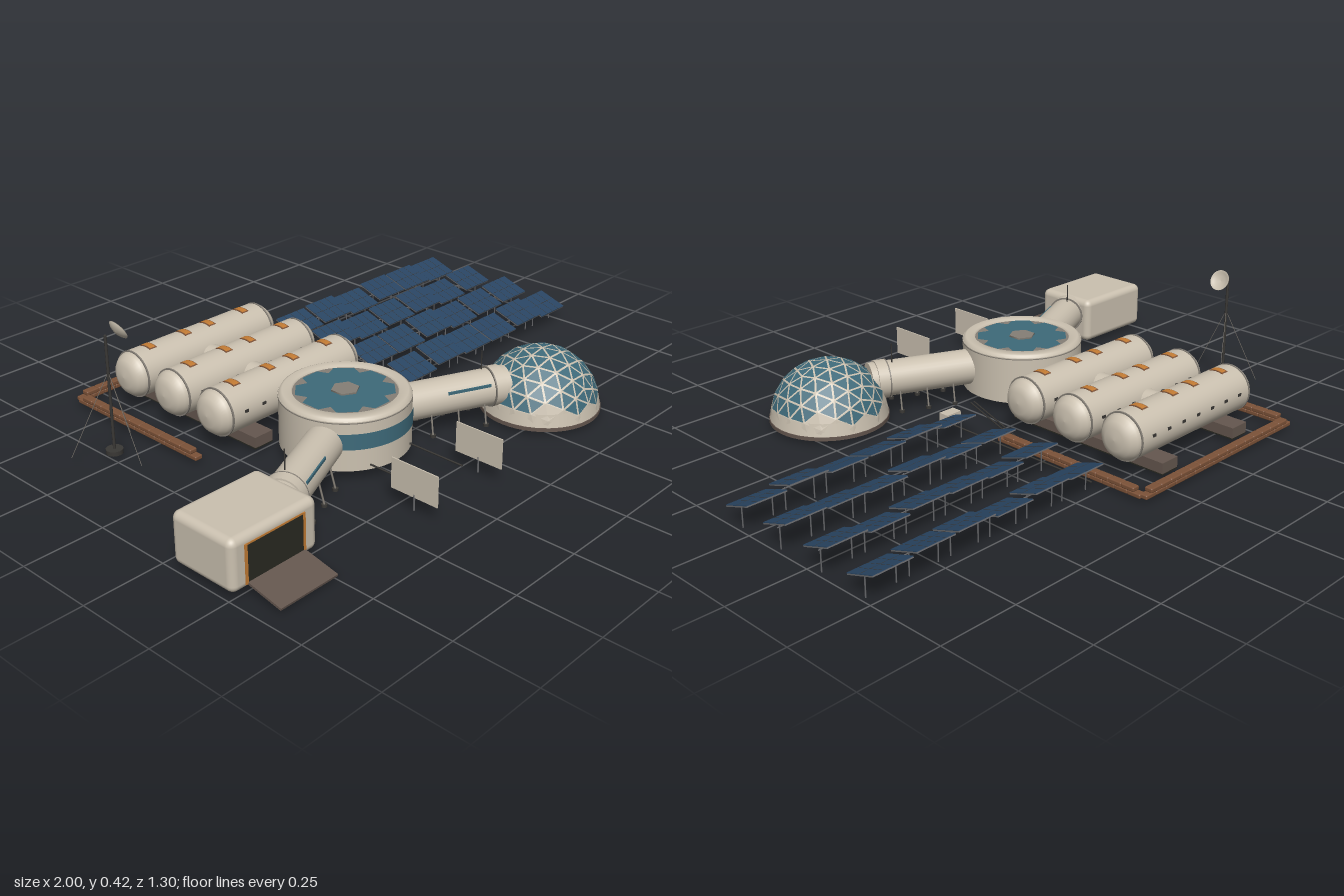
import * as THREE from 'three';
import { RoundedBoxGeometry } from 'three/addons/geometries/RoundedBoxGeometry.js';

const paint = (name, color, extra = {}) => {
  const m = new THREE.MeshStandardMaterial({ color, ...extra });
  m.name = name;
  return m;
};
const V = (x, y, z) => new THREE.Vector3(x, y, z);
const rad = Math.PI / 180;

export function createModel() {
  const root = new THREE.Group();
  root.name = 'baseStation';
  const hull = paint('hull', 0xcbc1b0);
  const glass = paint('glass', 0x3e6a7a, { side: THREE.DoubleSide });
  const dark = paint('darkMetal', 0x3a3835);
  const black = paint('interior', 0x2a2a22);
  const grey = paint('greyDeck', 0x857f76);
  const steel = paint('steel', 0x66676a);
  const skid = paint('skidBrown', 0x65574f);
  const orange = paint('orange', 0xc47c34);
  const brick = paint('brick', 0x7c5238);
  const cell = paint('solarCell', 0x294563);

  const add = (name, geo, mat, x = 0, y = 0, z = 0, parent = root) => {
    const m = new THREE.Mesh(geo, mat);
    m.name = name;
    m.position.set(x, y, z);
    parent.add(m);
    return m;
  };
  const box = (name, w, h, d, mat, x, y, z, parent) =>
    add(name, new THREE.BoxGeometry(w, h, d), mat, x, y, z, parent);
  const disc = (name, r, h, mat, x, y, z, parent, seg = 32) =>
    add(name, new THREE.CylinderGeometry(r, r, h, seg), mat, x, y, z, parent);
  // Cylinder between two points
  const rod = (name, a, b, r, mat, seg = 6) => {
    const m = add(name, new THREE.CylinderGeometry(r, r, a.distanceTo(b), seg), mat);
    m.position.copy(a).lerp(b, 0.5);
    m.quaternion.setFromUnitVectors(V(0, 1, 0), b.clone().sub(a).normalize());
    return m;
  };
  const lathe = (pts, seg = 48) =>
    new THREE.LatheGeometry(pts.map(([r, y]) => new THREE.Vector2(r, y)), seg);

  // Central hub with a recessed glazed roof
  const HX = -0.24, HZ = 0.18;
  const hub = new THREE.Group();
  hub.name = 'hub';
  hub.position.set(HX, 0, HZ);
  root.add(hub);
  add('hubWall', new THREE.CylinderGeometry(0.197, 0.197, 0.155, 64), hull, 0, 0.1125, 0, hub);
  add('hubRim', lathe([[0.197, 0.188], [0.192, 0.198], [0.185, 0.201], [0.158, 0.201], [0.154, 0.19]], 64), hull, 0, 0, 0, hub);
  disc('hubSeam', 0.198, 0.003, grey, 0, 0.186, 0, hub, 64);
  disc('roofDeck', 0.156, 0.004, grey, 0, 0.192, 0, hub, 48);
  const star = new THREE.Shape();
  for (let i = 0; i < 8; i++) {
    for (const [da, r] of [[-0.21, 0.149], [0.21, 0.149], [Math.PI / 8, 0.12]]) {
      const a = i * Math.PI / 4 + da;
      const p = [r * Math.cos(a), r * Math.sin(a)];
      if (i === 0 && da === -0.21) star.moveTo(...p); else star.lineTo(...p);
    }
  }
  add('roofGlass', new THREE.ShapeGeometry(star), glass, 0, 0.197, 0, hub).rotation.x = -Math.PI / 2;
  disc('roofCap', 0.043, 0.006, grey, 0, 0.199, 0, hub, 6);
  add('hubWindow', new THREE.CylinderGeometry(0.2, 0.2, 0.05, 32, 1, true, -62 * rad, 97 * rad), glass, 0, 0.129, 0, hub);

  // Two tunnels running forward and outward from the hub
  for (const s of [-1, 1]) {
    const dir = V(s * Math.cos(24 * rad), 0, Math.sin(24 * rad));
    const side = V(-dir.z, 0, dir.x);
    const at = (t, off = 0, y = 0.115) => V(HX, y, HZ).addScaledVector(dir, t).addScaledVector(side, off);
    rod('tunnel', at(0.15), at(0.53), 0.058, hull, 32);
    rod('tunnelCollar', at(0.475), at(0.51), 0.063, hull, 32);
    rod('tunnelSeam', at(0.471), at(0.475), 0.0635, grey, 32);
    const w = box('tunnelWindow', 0.145, 0.009, 0.006, glass);
    w.position.copy(at(0.385, s * 0.0495, 0.143));
    w.rotation.y = -Math.atan2(dir.z, dir.x);
    for (const k of [-1, 1]) for (const t of [0.26, 0.35, 0.44]) {
      rod('tunnelLeg', at(t, k * 0.045, 0.085), at(t, k * 0.06, 0.02), 0.003, grey);
      const p = at(t, k * 0.06, 0.018);
      disc('tunnelPad', 0.009, 0.008, dark, p.x, p.y, p.z, root, 10);
    }
    const ax = s < 0 ? -0.66 : 0.18;
    rod('whipAntenna', V(ax, 0.15, 0.355), V(ax, 0.235, 0.355), 0.002, dark);
  }

  // Geodesic greenhouse dome
  const R = 0.188;
  const dome = new THREE.Group();
  dome.name = 'greenhouseDome';
  dome.position.set(0.37, 0.02, 0.445);
  root.add(dome);
  const src = new THREE.IcosahedronGeometry(R, 3).getAttribute('position');
  const frame = [], panes = [];
  for (let i = 0; i < src.count; i += 3) {
    const t = [0, 1, 2].map(k => new THREE.Vector3().fromBufferAttribute(src, i + k));
    const c = t[0].clone().add(t[1]).add(t[2]).divideScalar(3);
    if (t.every(p => p.y < 0.001)) continue;
    for (const p of t) {
      if (p.y < 0) { p.y = 0; p.setLength(R); }
      frame.push(p.x, p.y, p.z);
    }
    if (c.y < 0.3 * R) continue;
    const out = c.clone().setLength(0.0012);
    for (const p of t) panes.push(...p.clone().lerp(c, 0.18).add(out).toArray());
  }
  const soup = arr => {
    const g = new THREE.BufferGeometry();
    g.setAttribute('position', new THREE.Float32BufferAttribute(arr, 3));
    g.computeVertexNormals();
    return g;
  };
  add('domeFrame', soup(frame), hull, 0, 0, 0, dome);
  add('domePanes', soup(panes), glass, 0, 0, 0, dome);
  add('domeSkirt', new THREE.CylinderGeometry(0.181, 0.189, 0.042, 32, 1, true), hull, 0, 0.026, 0, dome);
  disc('domeBase', 0.191, 0.012, skid, 0, 0, 0, dome, 48);

  // Garage with framed door and ramp
  add('garage', new RoundedBoxGeometry(0.3, 0.155, 0.225, 4, 0.022), hull, -0.85, 0.0975, 0.402);
  box('doorway', 0.195, 0.108, 0.006, black, -0.852, 0.092, 0.514);
  for (const s of [-1, 1]) box('doorJamb', 0.008, 0.115, 0.006, orange, -0.852 + s * 0.1, 0.093, 0.515);
  box('doorLintel', 0.208, 0.006, 0.004, orange, -0.852, 0.148, 0.514);
  box('ramp', 0.2, 0.007, 0.118, skid, -0.85, 0.026, 0.573).rotation.x = 0.2;
  for (const x of [-0.95, -0.75]) for (const z of [0.33, 0.47])
    disc('garageFoot', 0.01, 0.01, dark, x, 0.016, z, root, 10);

  // Three habitat cylinders with bands, roof hatches and portholes
  const capEnd = [[0.0, 0.303], [0.035, 0.3], [0.055, 0.291], [0.068, 0.276], [0.0755, 0.255]];
  const habGeo = lathe([...capEnd.map(([r, y]) => [r, -y]), ...capEnd.slice().reverse()], 40);
  // Thin plate curved over the top of a habitat
  const plate = (name, r, w, half, mat, x, hab) =>
    add(name, new THREE.CylinderGeometry(r, r, w, 8, 1, false, -half, 2 * half), mat, x, 0, 0, hab)
      .rotation.set(0, Math.PI / 2, Math.PI / 2, 'XZY');
  for (const z of [-0.478, -0.287, -0.095]) {
    const hab = new THREE.Group();
    hab.name = 'habitat';
    hab.position.set(-0.237, 0.125, z);
    root.add(hab);
    add('habitatShell', habGeo, hull, 0, 0, 0, hab).rotation.z = -Math.PI / 2;
    for (const x of [-0.262, 0.262])
      disc('habitatBand', 0.0765, 0.005, grey, x, 0, 0, hab, 40).rotation.z = Math.PI / 2;
    for (const x of [-0.198, -0.053, 0.047, 0.192]) {
      plate('hatchFrame', 0.0775, 0.028, 0.33, brick, x, hab);
      plate('roofHatch', 0.0785, 0.021, 0.27, orange, x, hab);
    }
    for (const s of [-1, 1]) for (let i = 0; i < 7; i++)
      box('porthole', 0.014, 0.009, 0.004, dark, -0.21 + i * 0.07, 0.01, s * 0.0745, hab);
  }
  rod('habitatConnector', V(-0.24, 0.113, -0.45), V(-0.24, 0.113, 0.02), 0.046, hull, 28);
  for (const x of [-0.41, -0.065]) {
    box('skidBeam', 0.07, 0.034, 0.595, skid, x, 0.038, -0.288);
    box('skidSole', 0.07, 0.004, 0.595, black, x, 0.019, -0.288);
  }

  // Low block wall around the back: two courses of rounded blocks
  const wall = (x0, z0, x1, z1) => {
    const len = Math.hypot(x1 - x0, z1 - z0), n = Math.round(len / 0.045);
    const geo = new RoundedBoxGeometry(len / n, 0.0145, 0.027, 2, 0.004);
    for (let row = 0; row < 2; row++) for (let i = 0; i < n - row; i++) {
      const t = (i + 0.5 + row * 0.5) / n;
      add('wallBlock', geo, brick, x0 + (x1 - x0) * t, 0.02 + row * 0.0135, z0 + (z1 - z0) * t)
        .rotation.y = x0 === x1 ? Math.PI / 2 : 0;
    }
  };
  wall(-0.595, -0.63, -0.595, -0.07);
  wall(0.115, -0.63, 0.115, -0.07);
  wall(-0.6, -0.635, 0.12, -0.635);

  // Solar field: four rows of six tilted panels at slightly uneven heights
  [-0.463, -0.29, -0.12, 0.05].forEach((z, row) => {
    rod('panelRail', V(0.15, 0.066, z), V(0.99, 0.066, z), 0.002, steel);
    for (let i = 0; i < 6; i++) {
      const p = new THREE.Group();
      p.name = 'solarPanel';
      p.position.set(0.217 + i * 0.1433, 0.077 + 0.007 * Math.sin(i * 2.3 + row * 1.7), z);
      p.rotation.x = 0.32;
      root.add(p);
      box('panelBack', 0.133, 0.004, 0.104, steel, 0, -0.002, 0, p);
      box('panelCells', 0.133, 0.002, 0.104, cell, 0, 0.001, 0, p);
      for (const x of [-0.032, 0, 0.032]) box('cellLine', 0.001, 0.001, 0.104, dark, x, 0.002, 0, p);
      box('cellLine', 0.133, 0.001, 0.001, dark, 0, 0.002, 0, p);
      for (const s of [-1, 1])
        rod('panelPost', V(p.position.x + s * 0.05, 0, z), V(p.position.x + s * 0.05, 0.07, z), 0.0022, steel);
    }
  });

  // Power box and ground cables
  box('powerBox', 0.058, 0.04, 0.036, hull, 0.14, 0.035, 0.128);
  rod('fieldCable', V(0.142, 0.015, -0.463), V(0.142, 0.015, 0.12), 0.003, dark);
  for (const o of [0, 0.014])
    rod('hubCable', V(-0.035 + o, 0.015, 0.2), V(0.1 + o, 0.015, -0.18), 0.0025, dark);

  // Radiator boards on posts, fed by pipes from the hub
  for (const s of [-1, 1]) {
    const x = -0.239 + s * 0.141;
    box('radiatorBoard', 0.004, 0.095, 0.164, hull, x, 0.098, 0.566);
    rod('radiatorPost', V(x, 0.01, 0.566), V(x, 0.06, 0.566), 0.003, steel);
    rod('radiatorPipe', V(HX + s * 0.085, 0.05, 0.34), V(HX + s * 0.085, 0.05, 0.553), 0.003, dark);
  }

  // Communications mast with guy wires and dish
  const MX = -0.733, MZ = -0.287;
  disc('mastBase', 0.026, 0.014, dark, MX, 0.02, MZ, root, 16);
  rod('mast', V(MX, 0.02, MZ), V(MX, 0.39, MZ), 0.0045, dark, 8);
  for (let i = 0; i < 3; i++) {
    const a = (90 + i * 120) * rad;
    rod('guyWire', V(MX, 0.275, MZ), V(MX + 0.125 * Math.cos(a), 0.015, MZ + 0.125 * Math.sin(a)), 0.001, grey, 4);
  }
  const dish = add('dish', lathe([[0, 0], [0.015, 0.002], [0.026, 0.006], [0.034, 0.011], [0.034, 0.013],
    [0.026, 0.009], [0.015, 0.005], [0, 0.003]], 28), hull, -0.696, 0.386, MZ);
  dish.rotation.z = -61 * rad;

  return root;
}
